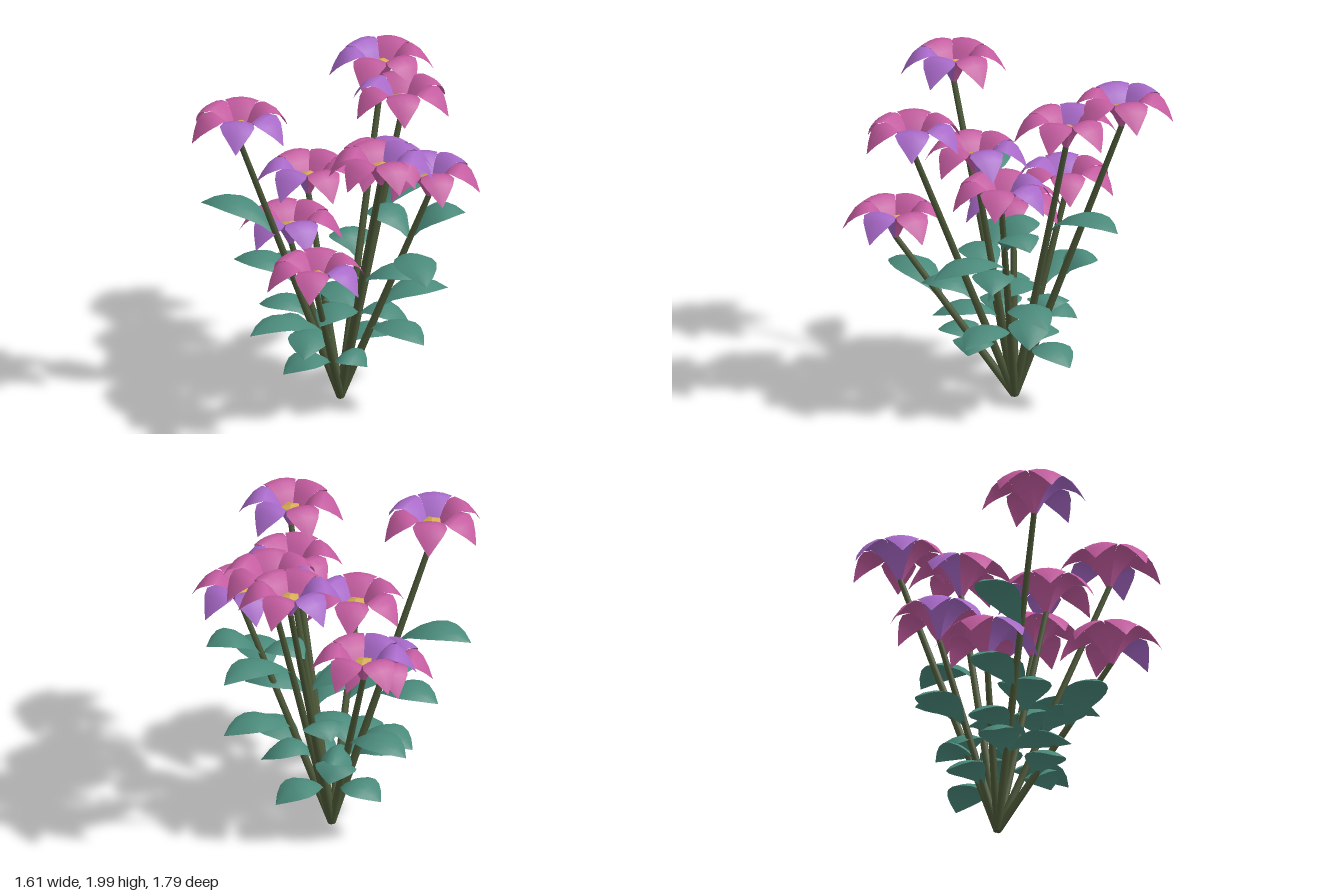
import * as THREE from 'three';

const mat = (name, color, side = THREE.FrontSide) => {
  const m = new THREE.MeshStandardMaterial({ color, side });
  m.name = name;
  return m;
};
const V = (x, y, z) => new THREE.Vector3(x, y, z);

// Curved blade: stations of centre, half width and edge droop, swept along a side vector
function blade(stations, side, cols = 4) {
  const pos = [], idx = [];
  stations.forEach(({ p, w, droop }, i) => {
    for (let j = 0; j <= cols; j++) {
      const s = (j / cols) * 2 - 1;
      pos.push(p.x + side.x * w * s, p.y - droop * s * s, p.z + side.z * w * s);
      if (i && j) {
        const b = i * (cols + 1) + j, a = b - cols - 1;
        idx.push(a - 1, a, b, a - 1, b, b - 1);
      }
    }
  });
  const g = new THREE.BufferGeometry();
  g.setAttribute('position', new THREE.Float32BufferAttribute(pos, 3));
  g.setIndex(idx);
  g.computeVertexNormals();
  return g;
}

// Petal profile: radius, height, half width, edge droop
const petalProfile = [
  [0.012, 0, 0.007, 0], [0.05, 0.085, 0.029, 0.002], [0.1, 0.165, 0.058, 0.006],
  [0.148, 0.212, 0.085, 0.014], [0.195, 0.214, 0.103, 0.024], [0.238, 0.182, 0.083, 0.02],
  [0.278, 0.124, 0.044, 0.008], [0.312, 0.06, 0.002, 0],
];

// Stem top position, angle of the first petal (clockwise from above, 0 = +x), purple petals
const flowers = [
  [-0.43, 1.775, -0.625, 2, [2, 3]],
  [-0.09, 1.705, -0.485, 37, [2]],
  [0.325, 1.37, -0.345, 26, [3, 4]],
  [-0.5, 1.17, -0.115, 13, [1, 2]],
  [0.225, 1.515, -0.055, 0, [4, 5]],
  [-0.345, 0.98, 0.155, 22, [0, 1]],
  [0.51, 1.665, 0.19, 20, [4, 5]],
  [-0.305, 1.775, 0.59, 45, [0, 5]],
  [0.3, 0.985, 0.515, 48, [5]],
];

// Leaves: flower index, height of the root on that stem, tip position
const leaves = [
  [7, 1.13, -0.69, 1.25, 0.56],
  [1, 1.12, -0.115, 1.25, -0.87],
  [2, 1.08, -0.09, 1.17, -0.22],
  [2, 1.08, 0.36, 1.2, -0.6],
  [2, 0.96, 0.62, 0.96, -0.07],
  [3, 0.65, -0.75, 0.7, 0],
  [8, 0.6, 0.035, 0.7, 0.8],
  [7, 0.8, -0.6, 0.86, 0.38],
  [7, 0.56, -0.52, 0.56, 0.25],
  [4, 0.82, -0.09, 0.87, 0.3],
  [4, 0.8, 0.36, 0.85, -0.3],
  [2, 0.62, 0.2, 0.66, -0.6],
  [6, 0.66, 0.2, 0.7, 0.4],
  [0, 0.78, -0.5, 0.84, -0.37],
  [2, 0.46, 0.47, 0.5, -0.18],
  [8, 0.3, 0.2, 0.33, 0.03],
  [3, 0.28, -0.51, 0.29, 0.01],
  [0, 0.3, -0.13, 0.29, -0.48],
  [8, 0.32, -0.06, 0.32, 0.46],
  [7, 0.42, -0.4, 0.46, 0.3],
  [7, 0.45, 0.08, 0.45, 0.42],
  [1, 0.5, 0.12, 0.45, -0.38],
  [3, 0.45, -0.4, 0.48, -0.3],
  [3, 0.64, 0.06, 0.64, 0],
  [0, 0.53, -0.38, 0.53, -0.1],
];

export function createModel() {
  const root = new THREE.Group();
  root.name = 'flowerBunch';
  const pink = mat('pink petal', 0xc45ca0, THREE.DoubleSide);
  const purple = mat('purple petal', 0xa869c8, THREE.DoubleSide);
  const green = mat('teal leaf', 0x4a8a7b, THREE.DoubleSide);
  const stemMat = mat('olive stem', 0x4a5636);
  const gold = mat('gold centre', 0xd4ac52);
  gold.flatShading = true;

  const add = (parent, name, geo, material) => {
    const m = new THREE.Mesh(geo, material);
    m.name = name;
    parent.add(m);
    return m;
  };

  const base = V(-0.13, 0.01, -0.045);
  const petalGeo = blade(
    petalProfile.map(([r, y, w, droop]) => ({ p: V(r, y, 0), w, droop })), V(0, 0, -1));
  const centreGeo = new THREE.ConeGeometry(0.06, 0.02, 5);

  flowers.forEach(([x, y, z, phase, purples]) => {
    // Straight tapered stem
    const top = V(x, y + 0.01, z), dir = top.clone().sub(base);
    const stem = add(root, 'stem', new THREE.CylinderGeometry(0.017, 0.025, dir.length(), 8), stemMat);
    stem.position.copy(base).addScaledVector(dir, 0.5);
    stem.quaternion.setFromUnitVectors(V(0, 1, 0), dir.normalize());

    // Six drooping petals round a gold centre
    const flower = new THREE.Group();
    flower.name = 'flower';
    flower.position.set(x, y, z);
    root.add(flower);
    for (let i = 0; i < 6; i++) {
      const petal = add(flower, 'petal', petalGeo, purples.includes(i) ? purple : pink);
      petal.rotation.y = -THREE.MathUtils.degToRad(phase + i * 60);
    }
    add(flower, 'flowerCentre', centreGeo, gold).position.y = 0.135;
  });

  // Arching leaves with a soft fold along the middle
  leaves.forEach(([f, h, tx, ty, tz]) => {
    const [x, y, z] = flowers[f];
    const start = base.clone().lerp(V(x, y, z), (h - base.y) / (y - base.y));
    const tip = V(tx, ty, tz);
    const mid = start.clone().lerp(tip, 0.5);
    mid.y = Math.max(start.y, tip.y) + 0.19;
    const curve = new THREE.QuadraticBezierCurve3(start, mid, tip);
    const side = V(tip.z - start.z, 0, start.x - tip.x).normalize();
    const widths = [0.008, 0.045, 0.09, 0.12, 0.126, 0.106, 0.064, 0.002];
    add(root, 'leaf', blade(widths.map((w, i) => (
      { p: curve.getPoint(i / 7), w, droop: w * 0.3 })), side), green);
  });
  return root;
}
